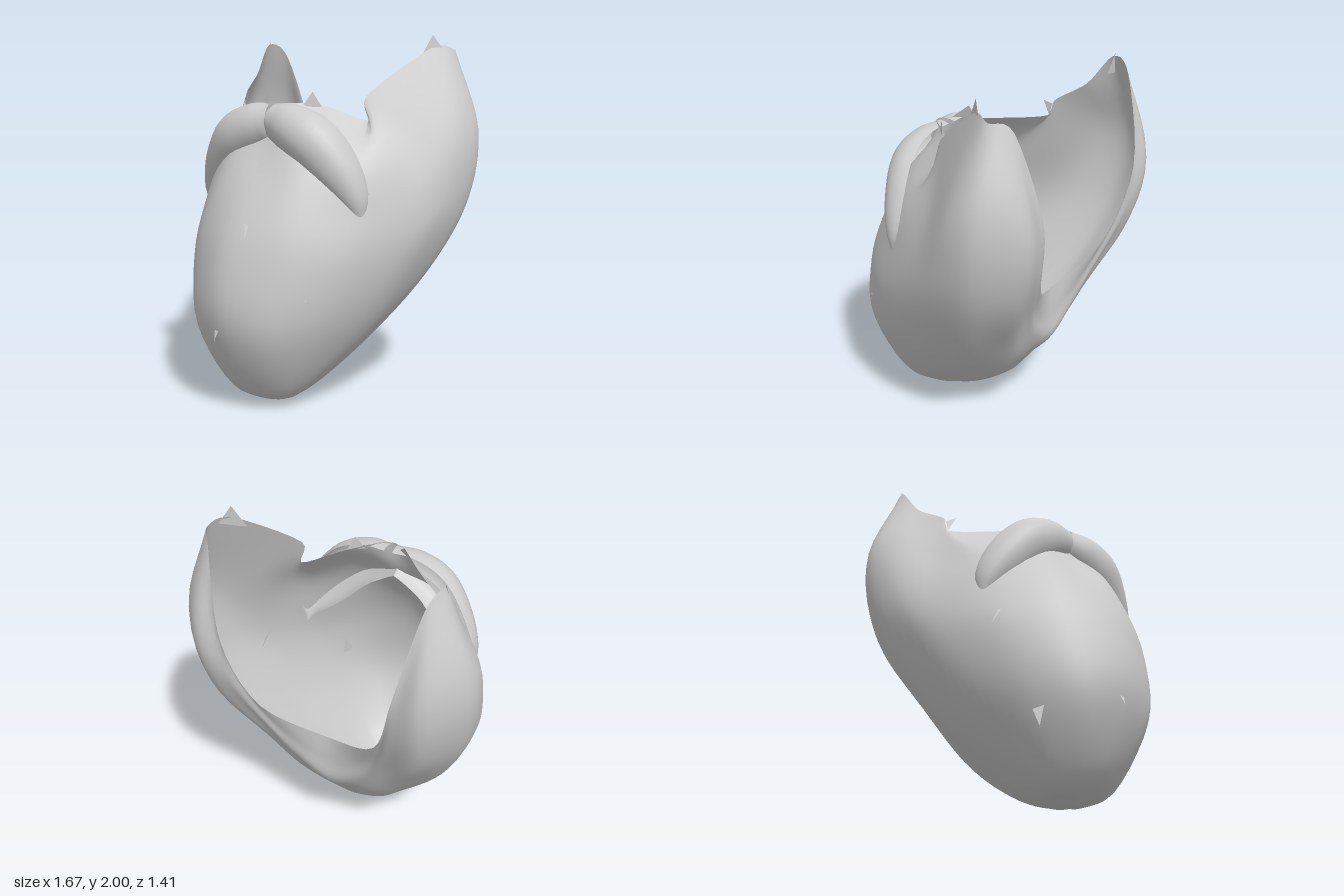
import * as THREE from 'three';

const V = (p) => new THREE.Vector3(...p);
const mirror = ([x, y, z]) => [-x, y, z];
const material = new THREE.MeshStandardMaterial({ color: 0xcccccc, side: THREE.DoubleSide });

// Every rib runs from the shared chin tip up to the open rim.
const TIP = [0, 0, 0.3];
const frontRibs = [
  [[0, 0.12, 0.52], [0, 0.5, 0.69], [0, 0.85, 0.66], [0, 1.15, 0.53], [0, 1.44, 0.31], [0, 1.64, 0.27]],
  [[0.12, 0.1, 0.47], [0.24, 0.45, 0.61], [0.29, 0.82, 0.56], [0.28, 1.12, 0.46], [0.23, 1.42, 0.31], [0.2, 1.63, 0.09]],
  [[0.2, 0.09, 0.39], [0.4, 0.45, 0.42], [0.5, 0.8, 0.35], [0.52, 1.08, 0.24], [0.49, 1.32, 0.16], [0.42, 1.55, -0.03]],
  [[0.22, 0.08, 0.3], [0.48, 0.45, 0.2], [0.62, 0.8, 0.1], [0.68, 1.1, -0.03], [0.63, 1.4, -0.11], [0.41, 1.68, -0.03]],
  [[0.2, 0.07, 0.21], [0.49, 0.43, 0.02], [0.69, 0.83, -0.12], [0.79, 1.15, -0.26], [0.79, 1.5, -0.34], [0.6, 1.93, -0.36]],
];
const backRibs = [
  [[0.17, 0.06, 0.14], [0.41, 0.36, -0.12], [0.64, 0.72, -0.32], [0.79, 1.1, -0.46], [0.81, 1.5, -0.52], [0.67, 1.92, -0.48]],
  [[0.14, 0.06, 0.09], [0.29, 0.29, -0.19], [0.47, 0.63, -0.41], [0.61, 0.99, -0.62], [0.65, 1.4, -0.7], [0.6, 1.87, -0.58]],
  [[0.1, 0.05, 0.06], [0.2, 0.23, -0.21], [0.3, 0.48, -0.41], [0.39, 0.79, -0.54], [0.47, 1.1, -0.66], [0.5, 1.4, -0.69]],
  [[0.05, 0.05, 0.04], [0.1, 0.2, -0.22], [0.16, 0.4, -0.39], [0.22, 0.6, -0.49], [0.29, 0.79, -0.53], [0.35, 0.97, -0.6]],
  [[0, 0.05, 0.03], [0, 0.18, -0.22], [0, 0.34, -0.35], [0, 0.49, -0.48], [0, 0.63, -0.48], [0, 0.79, -0.465]],
];

// The rim of the right cheek is cut differently from the left one.
const rightRim = {
  1: [-0.27, 1.6, 0.08], 2: [-0.54, 1.58, -0.12], 3: [-0.56, 1.67, -0.15],
  4: [-0.62, 1.78, -0.32], 5: [-0.65, 1.95, -0.46],
};

// Surface through a grid of points; rows[j][i], optionally closed around.
function gridGeometry(rows, closed) {
  const n = rows[0].length;
  const index = [];
  for (let j = 0; j < rows.length - 1; j++) {
    for (let i = 0; i < (closed ? n : n - 1); i++) {
      const k = (i + 1) % n;
      const a = j * n + i, b = j * n + k, c = a + n, d = b + n;
      index.push(a, b, d, a, d, c);
    }
  }
  const geometry = new THREE.BufferGeometry().setFromPoints(rows.flat());
  geometry.setIndex(index);
  geometry.computeVertexNormals();
  return geometry;
}

// Open bowl of hair: chin, cheeks, sideburns and neck.
function beardGeometry() {
  const left = [...frontRibs, ...backRibs];
  const right = left.slice(1, -1).map((rib, i) => {
    const points = rib.map(mirror);
    if (rightRim[i + 1]) points[5] = rightRim[i + 1];
    return points;
  });
  const ribs = [...left, ...right.reverse()].map(
    (rib) => new THREE.CatmullRomCurve3([TIP, ...rib].map(V), false, 'catmullrom', 0.5));
  const columns = ribs.length * 5, levels = 30;
  const rows = [];
  for (let j = 0; j <= levels; j++) {
    const ring = new THREE.CatmullRomCurve3(
      ribs.map((rib) => rib.getPoint(j / levels)), true, 'catmullrom', 0.45);
    rows.push(Array.from({ length: columns }, (_, i) => ring.getPoint(i / columns)));
  }
  return gridGeometry(rows, true);
}

// One drooping half of the moustache: arcs swept along a path, leaning back to the rim.
function moustacheGeometry(side) {
  const path = new THREE.CatmullRomCurve3(
    [[0, 1.54, 0.23], [0.12, 1.51, 0.24], [0.26, 1.44, 0.235], [0.39, 1.3, 0.2], [0.49, 1.15, 0.18], [0.54, 1.0, 0.19]].map(V));
  const radius = new THREE.SplineCurve(
    [0.1, 0.13, 0.145, 0.13, 0.08, 0.005].map((r, i) => new THREE.Vector2(i, r)));
  const rows = [];
  for (let j = 0; j <= 24; j++) {
    const t = j / 24, centre = path.getPoint(t), r = radius.getPoint(t).y;
    const tangent = path.getTangent(t);
    const out = new THREE.Vector3(0.55 * t, 0.5 * (1 - t), 1).normalize();
    const up = out.clone().cross(tangent).normalize();
    const row = [];
    for (let i = 0; i <= 14; i++) {
      const a = (i / 14) * (Math.PI + 0.2);
      const p = centre.clone().addScaledVector(up, r * Math.cos(a)).addScaledVector(out, r * Math.sin(a));
      p.x = Math.max(p.x, 0) * side;
      row.push(p);
    }
    rows.push(side > 0 ? row : row.reverse());
  }
  return gridGeometry(rows, false);
}

// Loose strands: two root points and a free tip.
const strands = [
  [[0.13, 1.62, 0.17], [0.21, 1.62, 0.1], [0.17, 1.7, 0.13]],
  [[-0.18, 1.62, 0.15], [-0.05, 1.63, 0.23], [-0.12, 1.7, 0.15]],
  [[-0.55, 1.58, -0.12], [-0.55, 1.65, -0.14], [-0.5, 1.68, -0.11]],
  [[-0.68, 1.85, -0.46], [-0.63, 1.85, -0.44], [-0.65, 1.97, -0.47]],
  [[0.56, 1.86, -0.3], [0.65, 1.91, -0.42], [0.6, 2, -0.37]],
  [[0.07, 1.05, 0.57], [0.11, 1.03, 0.58], [0.13, 0.97, 0.63]],
  [[-0.05, 0.5, 0.67], [-0.01, 0.5, 0.67], [-0.03, 0.42, 0.7]],
  [[0.42, 0.78, 0.42], [0.43, 0.66, 0.41], [0.4, 0.65, 0.49]],
  [[-0.45, 1.03, 0.33], [-0.51, 0.95, 0.3], [-0.56, 0.84, 0.3]],
  [[-0.36, 0.4, 0.47], [-0.4, 0.38, 0.43], [-0.38, 0.29, 0.46]],
  [[0.67, 1.02, 0], [0.68, 0.98, -0.06], [0.69, 0.91, -0.1]],
];

export function createModel() {
  const model = new THREE.Group();
  model.name = 'beard';
  const add = (geometry, name) => {
    const mesh = new THREE.Mesh(geometry, material);
    mesh.name = name;
    model.add(mesh);
  };
  add(beardGeometry(), 'beardShell');
  add(moustacheGeometry(1), 'leftMoustache');
  add(moustacheGeometry(-1), 'rightMoustache');
  for (const strand of strands) {
    const geometry = new THREE.BufferGeometry().setFromPoints(strand.map(V));
    geometry.computeVertexNormals();
    add(geometry, 'looseStrand');
  }
  return model;
}
